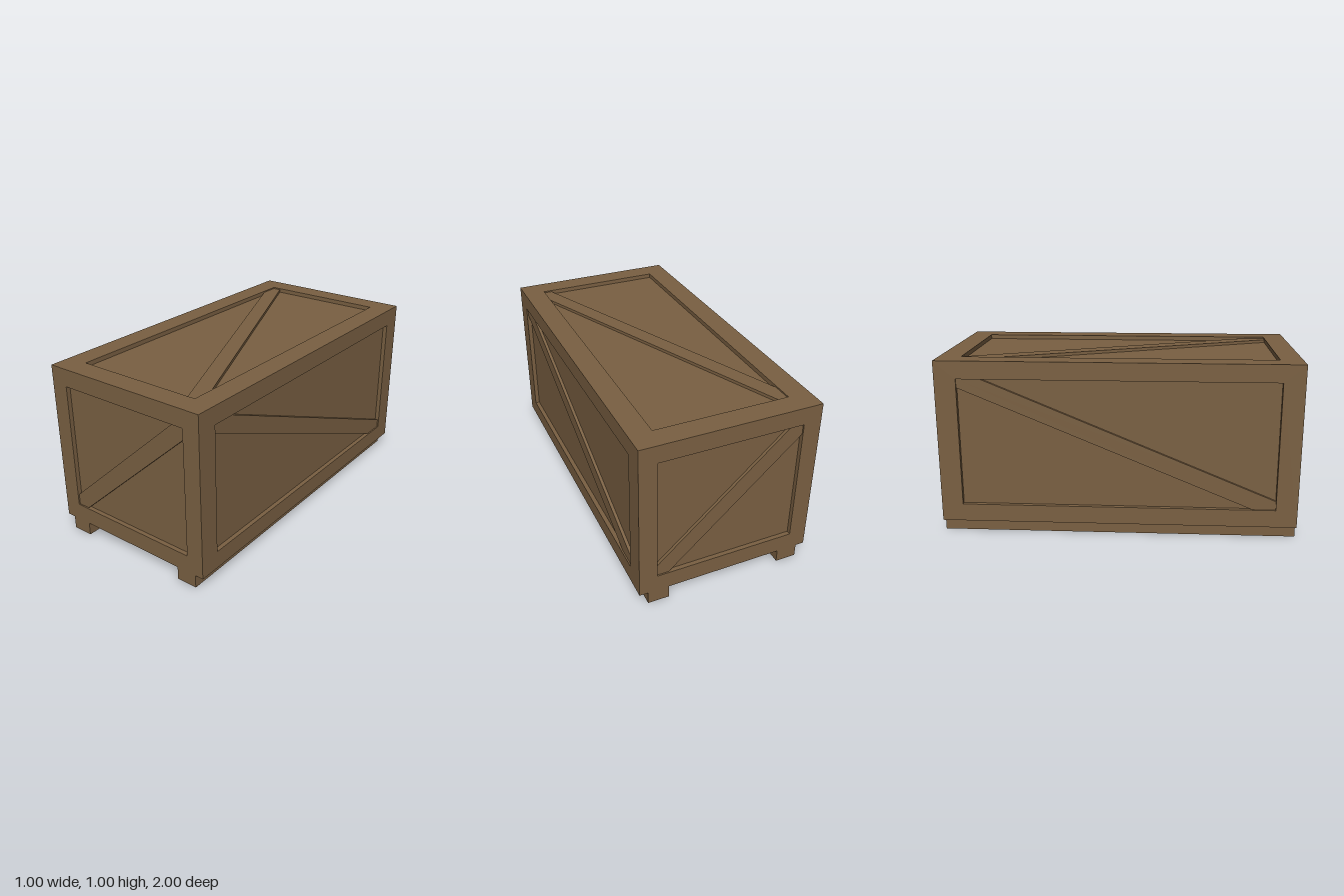
import * as THREE from 'three';

const WELL = 0.025;   // depth of the recessed panels
const BRACE = 0.017;  // height of the diagonal braces above the panel floor

// Closed polygon from corner pairs
const polygon = (pts) => pts.map(([x, y]) => new THREE.Vector2(x, y));

// Open tray facing +z: four inward walls and a floor, from an inverted box
function trayGeometry(w, h) {
  const geo = new THREE.BoxGeometry(w, h, WELL).translate(0, 0, -WELL / 2);
  const index = Array.from(geo.index.array);
  geo.setIndex([...index.slice(0, 24), ...index.slice(30, 36)].reverse());
  geo.clearGroups();
  geo.computeVertexNormals();
  return geo;
}

// One crate face in the xy plane: flat frame, recessed panel, diagonal brace
// w, h: outer size; a, b: half size of the opening; p, q: brace end widths
function cratePanel(name, mat, { w, h, a, b, p, q, flip }) {
  const panel = new THREE.Group();
  panel.name = name;
  const add = (part, geo) => {
    const mesh = new THREE.Mesh(geo, mat);
    mesh.name = part;
    panel.add(mesh);
  };

  const frame = new THREE.Shape(polygon([[-w / 2, -h / 2], [w / 2, -h / 2], [w / 2, h / 2], [-w / 2, h / 2]]));
  frame.holes.push(new THREE.Path(polygon([[-a, -b], [-a, b], [a, b], [a, -b]])));
  add('frame', new THREE.ShapeGeometry(frame));
  add('recessedBoard', trayGeometry(2 * a, 2 * b));

  const s = flip ? -1 : 1;
  const outline = [[-a, -b], [-a + p, -b], [a, b - q], [a, b], [a - p, b], [-a, -b + q]];
  const brace = new THREE.Shape(polygon(outline.map(([x, y]) => [s * x, y])));
  add('diagonalBrace', new THREE.ExtrudeGeometry(brace, { depth: BRACE, bevelEnabled: false })
    .translate(0, 0, -WELL));
  return panel;
}

export function createModel() {
  const crate = new THREE.Group();
  crate.name = 'crate';
  const wood = new THREE.MeshStandardMaterial({ color: 0x7a6042 });
  wood.name = 'brownWood';

  const bottom = 0.075, height = 1 - bottom, midY = bottom + height / 2;
  const end = { w: 1, h: height, a: 0.4, b: 0.3625, p: 0.07, q: 0.0625 };
  const side = { w: 2, h: height, a: 0.88, b: 0.3625, p: 0.13, q: 0.05, flip: true };
  const lid = { w: 1, h: 2, a: 0.375, b: 0.875, p: 0.05, q: 0.117, flip: true };

  // Ends and long sides, each turned to face outward
  [
    ['frontPanel', end, 0, 1],
    ['leftPanel', side, Math.PI / 2, 0.5],
    ['backPanel', end, Math.PI, 1],
    ['rightPanel', side, -Math.PI / 2, 0.5],
  ].forEach(([name, spec, turn, dist]) => {
    const panel = cratePanel(name, wood, spec);
    panel.rotation.y = turn;
    panel.position.set(Math.sin(turn) * dist, midY, Math.cos(turn) * dist);
    crate.add(panel);
  });

  // Lid
  const top = cratePanel('lidPanel', wood, lid);
  top.rotation.x = -Math.PI / 2;
  top.position.y = 1;
  crate.add(top);

  // Plain underside
  const base = new THREE.Mesh(new THREE.PlaneGeometry(1, 2), wood);
  base.name = 'underside';
  base.rotation.x = Math.PI / 2;
  base.position.y = bottom;
  crate.add(base);

  // Two full-length runners
  for (const s of [-1, 1]) {
    const runner = new THREE.Mesh(new THREE.BoxGeometry(0.12, bottom, 2), wood);
    runner.name = s > 0 ? 'leftRunner' : 'rightRunner';
    runner.position.set(s * 0.391, bottom / 2, 0);
    crate.add(runner);
  }
  return crate;
}
